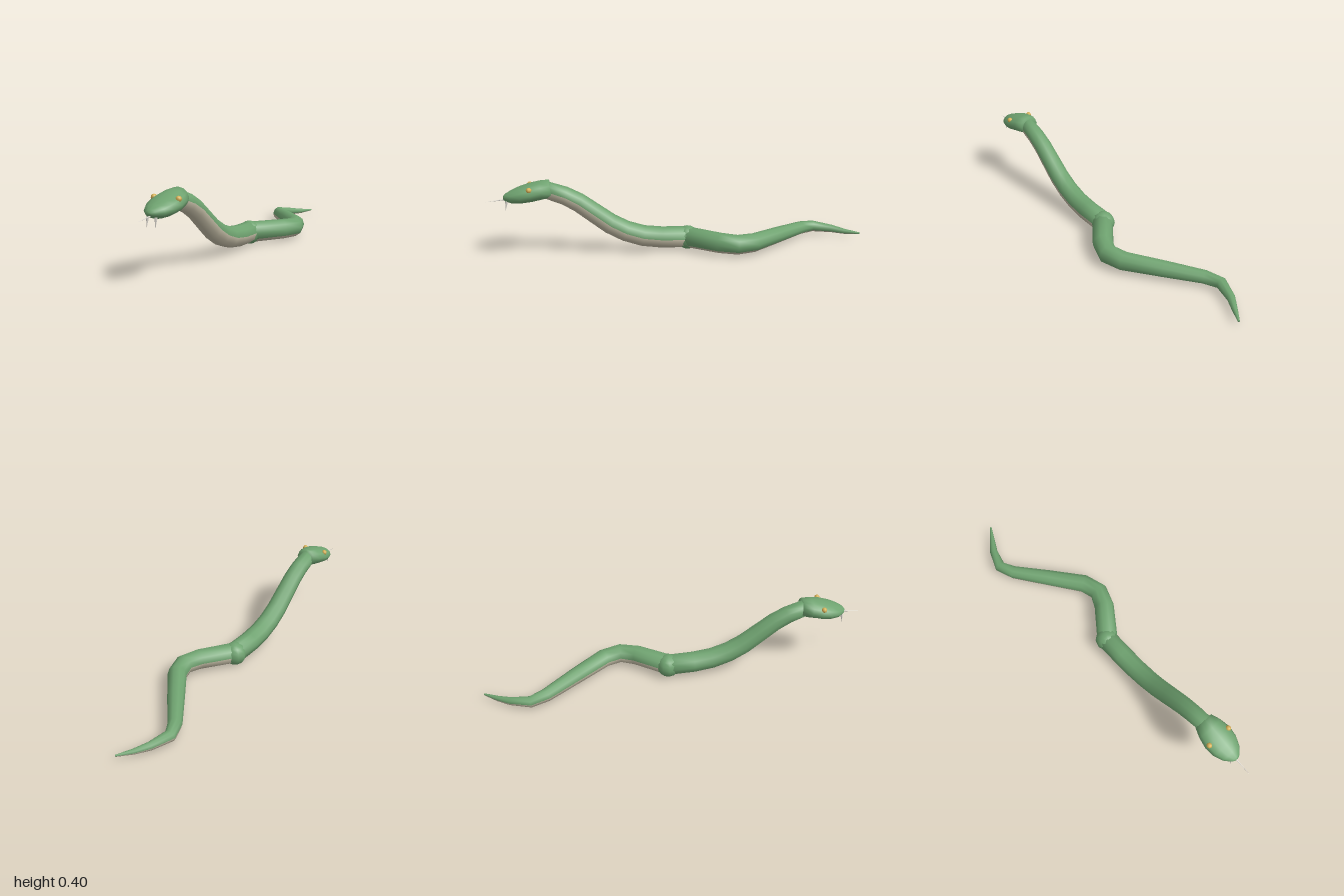
import * as THREE from 'three';

const CX = -0.012; // spine line of the head and neck

const green = new THREE.MeshStandardMaterial({ color: 0x6fa370 });
green.name = 'scale green';
const cream = new THREE.MeshStandardMaterial({ color: 0xbdb6a0 });
cream.name = 'belly cream';
const amber = new THREE.MeshStandardMaterial({ color: 0xd6b055 });
amber.name = 'eye amber';
const ivory = new THREE.MeshStandardMaterial({ color: 0xe4e0d8 });
ivory.name = 'fang ivory';

// Smooth loft through rings [x, y, z, halfWidth, halfHeight] running towards +z.
// Sides listed in bellySides go into the second material group.
function loft(rings, sides, bellySides = []) {
  const pts = rings.map(r => new THREE.Vector3(r[0], r[1], r[2]));
  const pos = [];
  const up = new THREE.Vector3(0, 1, 0);
  rings.forEach((ring, i) => {
    const a = pts[Math.max(i - 1, 0)], b = pts[Math.min(i + 1, pts.length - 1)];
    const d0 = pts[i].clone().sub(a).normalize();
    const t = b.clone().sub(pts[i]).normalize().add(d0).normalize();
    const side = up.clone().cross(t).normalize();
    const n = t.clone().cross(side);
    for (let j = 0; j < sides; j++) {
      const ang = (j / sides) * Math.PI * 2;
      const p = pts[i].clone()
        .addScaledVector(side, Math.cos(ang) * ring[3])
        .addScaledVector(n, Math.sin(ang) * ring[4]);
      pos.push(p.x, p.y, p.z);
    }
  });
  const first = pos.length / 3, end = rings.length - 1;
  pos.push(...pts[0].toArray(), ...pts[end].toArray());

  const back = [], belly = [];
  for (let j = 0; j < sides; j++) {
    const k = (j + 1) % sides;
    const out = bellySides.includes(j) ? belly : back;
    for (let i = 0; i < end; i++) {
      const a = i * sides + j, b = i * sides + k;
      out.push(a, b, b + sides, a, b + sides, a + sides);
    }
    back.push(first, k, j, first + 1, end * sides + j, end * sides + k);
  }
  const geo = new THREE.BufferGeometry();
  geo.setAttribute('position', new THREE.Float32BufferAttribute(pos, 3));
  geo.setIndex([...back, ...belly]);
  geo.addGroup(0, back.length, 0);
  geo.addGroup(back.length, belly.length, 1);
  geo.computeVertexNormals();
  return geo;
}

// Thin cone from a base point to a tip
function spike(from, to, radius) {
  const a = new THREE.Vector3(...from), b = new THREE.Vector3(...to);
  const dir = b.clone().sub(a);
  const mesh = new THREE.Mesh(new THREE.ConeGeometry(radius, dir.length(), 6), ivory);
  mesh.position.copy(a).add(b).multiplyScalar(0.5);
  mesh.quaternion.setFromUnitVectors(new THREE.Vector3(0, 1, 0), dir.normalize());
  return mesh;
}

export function createModel() {
  const model = new THREE.Group();
  const add = (name, mesh) => {
    mesh.name = name;
    model.add(mesh);
    return mesh;
  };

  // Raised front body: z, y, radius
  const neck = [
    [-0.03, 0.066, 0.056], [0.1, 0.069, 0.056], [0.2, 0.082, 0.055], [0.29, 0.112, 0.054],
    [0.37, 0.156, 0.053], [0.45, 0.217, 0.051], [0.53, 0.278, 0.049], [0.6, 0.317, 0.047],
    [0.69, 0.35, 0.044],
  ].map(([z, y, r]) => [CX, y, z, r, r]);
  add('frontBody', new THREE.Mesh(loft(neck, 10, [6, 7, 8, 9]), [green, cream]));

  // Winding tail resting on the ground: x, z, radius
  const tail = [
    [-0.05, -1, 0.005], [-0.095, -0.93, 0.014], [-0.135, -0.865, 0.021], [-0.168, -0.765, 0.03],
    [-0.133, -0.685, 0.035], [-0.01, -0.525, 0.043], [0.112, -0.365, 0.049],
    [0.139, -0.275, 0.051], [0.105, -0.19, 0.053], [CX, -0.03, 0.055],
  ].map(([x, z, r], i) => [x, i === 0 ? 0.025 : 0.01 + r, z, r, r]);
  add('tail', new THREE.Mesh(loft(tail, 10, [5, 6, 7, 8]), [green, cream]));

  // Round joint between the two body lengths
  const joint = add('bodyJoint', new THREE.Mesh(new THREE.SphereGeometry(0.062, 10, 8), green));
  joint.position.set(CX, 0.063, -0.035);

  // Head: z, y, half width, half height
  const head = [
    [0.668, 0.358, 0.052, 0.046], [0.715, 0.351, 0.07, 0.048], [0.77, 0.34, 0.081, 0.046],
    [0.82, 0.329, 0.075, 0.041], [0.865, 0.32, 0.056, 0.032], [0.897, 0.317, 0.027, 0.018],
    [0.906, 0.316, 0.01, 0.007],
  ].map(([z, y, w, h]) => [CX, y, z, w, h]);
  add('head', new THREE.Mesh(loft(head, 12), [green, green]));

  // Eyes and fangs on both sides
  for (const s of [-1, 1]) {
    const label = s > 0 ? 'left' : 'right';
    const eye = add(label + 'Eye', new THREE.Mesh(new THREE.SphereGeometry(0.0145, 8, 6), amber));
    eye.position.set(CX + s * 0.063, 0.366, 0.773);
    add(label + 'Fang', spike([CX + s * 0.021, 0.302, 0.888], [CX + s * 0.022, 0.253, 0.896], 0.007));
  }

  // Tongue
  add('tongue', spike([CX, 0.308, 0.895], [CX, 0.296, 1], 0.004));

  return model;
}
